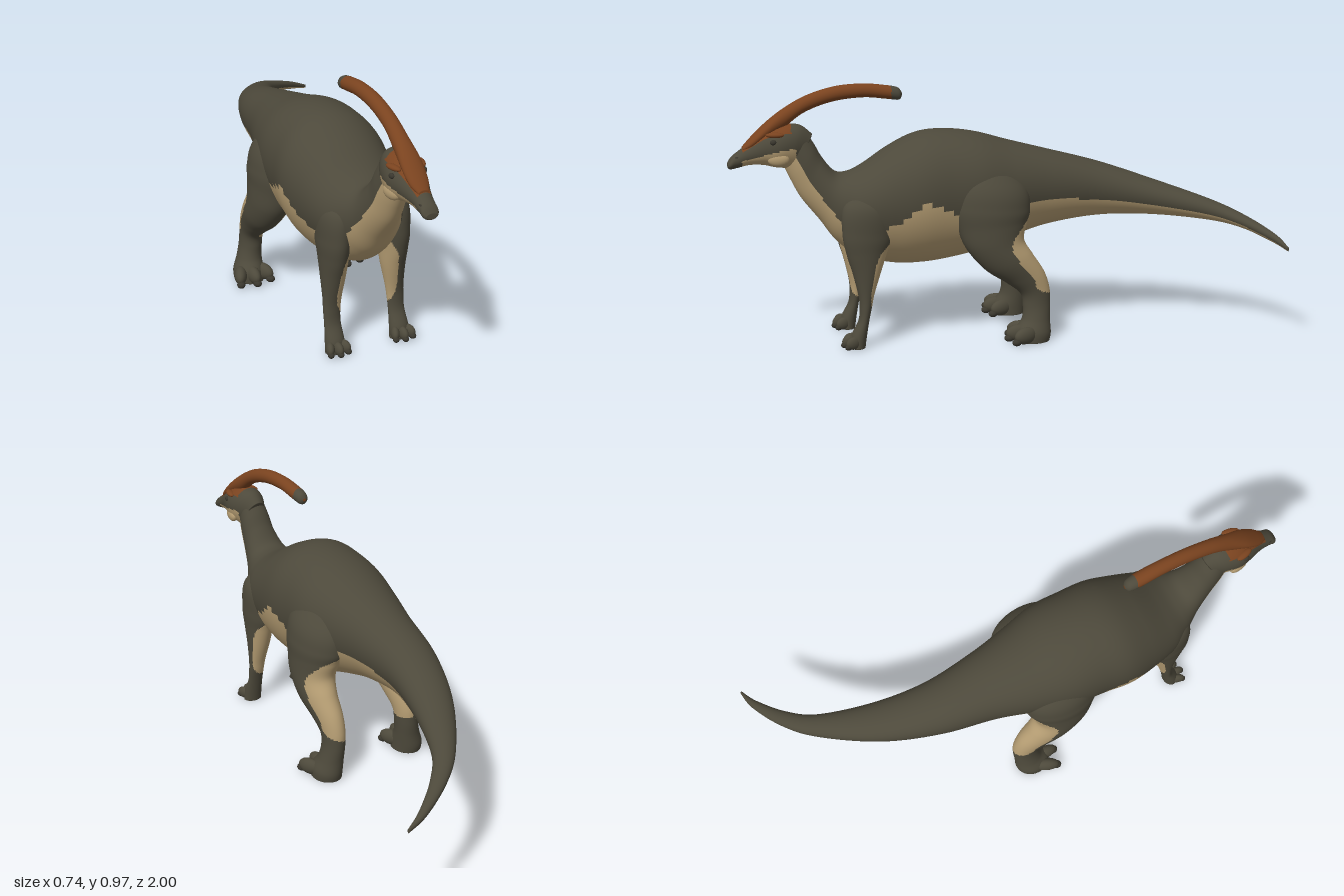
import * as THREE from 'three';

const mat = (name, color) => Object.assign(new THREE.MeshStandardMaterial({ color }), { name });
const CX = -0.12; // the body's own middle plane
const SIDES = 72;

// Smooth interpolation of a list of numeric section rows
function sample(keys, u) {
  const n = keys.length - 1, p = u * n, i = Math.min(Math.floor(p), n - 1), f = p - i;
  const row = (k) => keys[Math.max(0, Math.min(n, k))];
  return keys[0].map((_, c) => {
    const [a, b, d, e] = [-1, 0, 1, 2].map((k) => row(i + k)[c] ?? 0);
    return b + 0.5 * f * (d - a + f * (2 * a - 5 * b + 4 * d - e + f * (3 * (b - d) + e - a)));
  });
}

// Skin over oval sections: [z, y of top/front, z, y of bottom/back, x, half width, colour share, yaw]
// paint(point, angle from bottom, colour share) returns a material index
function loft(name, keys, materials, paint, { steps = 10, pear = 0 } = {}) {
  const count = (keys.length - 1) * steps, pos = [], shares = [];
  for (let i = 0; i <= count; i++) {
    const [zt, yt, zb, yb, cx, w, share, yaw = 0] = sample(keys, i / count);
    const r = yaw * Math.PI / 180;
    shares.push(share);
    for (let j = 0; j < SIDES; j++) {
      const a = (j / SIDES) * Math.PI * 2, k = (1 - Math.cos(a)) / 2;
      const side = w * Math.sin(a) * (1 + pear * Math.cos(a));
      pos.push(cx + side * Math.cos(r), yb + (yt - yb) * k, zb + (zt - zb) * k + side * Math.sin(r));
    }
  }
  const faces = materials.map(() => []);
  const point = (i) => new THREE.Vector3().fromArray(pos, i * 3);
  for (let i = 0; i < count; i++) {
    for (let j = 0; j < SIDES; j++) {
      const k = (j + 1) % SIDES;
      const a = i * SIDES + j, b = i * SIDES + k, c = b + SIDES, d = a + SIDES;
      const mid = point(a).add(point(c)).multiplyScalar(0.5);
      faces[paint(mid, ((j + 0.5) / SIDES) * Math.PI * 2, shares[i])].push(a, b, c, a, c, d);
    }
  }
  // closed ends
  const last = count * SIDES;
  for (let j = 1; j < SIDES - 1; j++) {
    faces[0].push(0, j + 1, j, last, last + j, last + j + 1);
  }
  const geo = new THREE.BufferGeometry();
  geo.setAttribute('position', new THREE.Float32BufferAttribute(pos, 3));
  geo.setIndex(faces.flat());
  let start = 0;
  faces.forEach((f, m) => { geo.addGroup(start, f.length, m); start += f.length; });
  geo.computeVertexNormals();
  const mesh = new THREE.Mesh(geo, materials);
  mesh.name = name;
  return mesh;
}

// Second colour fills a share of the section, centred on an angle
const band = (centre) => (p, a, share) => {
  const d = Math.abs(Math.atan2(Math.sin(a - centre), Math.cos(a - centre)));
  return d < Math.acos(1 - 2 * Math.max(0, Math.min(1, share))) ? 1 : 0;
};

function ball(name, material, x, y, z, sx, sy, sz, yaw = 0) {
  const m = new THREE.Mesh(new THREE.SphereGeometry(1, 20, 14), material);
  m.name = name;
  m.position.set(x, y, z);
  m.scale.set(sx, sy, sz);
  m.rotation.y = yaw;
  return m;
}

export function createModel() {
  const model = new THREE.Group();
  model.name = 'crestedDinosaur';
  const hide = mat('darkHide', 0x4d493b);
  const belly = mat('paleBelly', 0xb49c72);
  const rust = mat('rustCrest', 0x7a431f);
  const horn = mat('darkHorn', 0x3a372e);

  // Tail, trunk and neck in one skin
  const body = [
    [-0.997, 0.375, -0.997, 0.36, 0.362, 0.004, 0.2, 68],
    [-0.972, 0.41, -0.972, 0.377, 0.285, 0.015, 0.3, 60],
    [-0.9, 0.457, -0.9, 0.408, 0.17, 0.028, 0.36, 48],
    [-0.8, 0.503, -0.8, 0.425, 0.075, 0.042, 0.38, 35],
    [-0.6, 0.572, -0.6, 0.436, -0.03, 0.074, 0.38, 22],
    [-0.4, 0.64, -0.4, 0.432, -0.09, 0.099, 0.38, 10],
    [-0.2, 0.695, -0.2, 0.405, -0.107, 0.128, 0.41, 4],
    [-0.05, 0.735, -0.05, 0.36, -0.118, 0.165, 0.4],
    [0.08, 0.772, 0.08, 0.315, CX, 0.195, 0.36],
    [0.2, 0.786, 0.2, 0.29, -0.125, 0.2, 0.44],
    [0.3, 0.775, 0.3, 0.28, -0.13, 0.204, 0.53],
    [0.4, 0.73, 0.4, 0.285, -0.13, 0.188, 0.42],
    [0.5, 0.667, 0.53, 0.32, -0.127, 0.16, 0.33],
    [0.56, 0.642, 0.612, 0.385, -0.125, 0.122, 0.33],
    [0.61, 0.647, 0.67, 0.465, -0.125, 0.088, 0.38],
    [0.655, 0.7, 0.735, 0.55, -0.125, 0.066, 0.42],
    [0.685, 0.755, 0.772, 0.62, -0.125, 0.059, 0.42],
    [0.72, 0.81, 0.795, 0.67, -0.125, 0.05, 0.42],
  ];
  model.add(loft('bodyTailAndNeck', body, [hide, belly], band(0), { pear: -0.13, steps: 16 }));

  // Head with pale cheeks and a rust forehead
  const HX = -0.125;
  const head = [
    [0.69, 0.79, 0.765, 0.66, HX, 0.045, 0],
    [0.735, 0.825, 0.795, 0.667, HX, 0.062, 0],
    [0.8, 0.828, 0.83, 0.672, HX, 0.069, 0],
    [0.86, 0.808, 0.87, 0.682, HX, 0.058, 0],
    [0.92, 0.765, 0.92, 0.684, HX, 0.039, 0],
    [0.96, 0.737, 0.965, 0.675, HX, 0.031, 0],
    [0.985, 0.717, 0.99, 0.671, HX, 0.03, 0],
    [1.0, 0.696, 1.0, 0.677, HX, 0.02, 0],
  ];
  model.add(loft('head', head, [hide, belly, rust], (p, a) => {
    const fromTop = Math.abs(a - Math.PI);
    if (p.z > 0.77 && p.z < 0.945 && fromTop < 0.85) return 2;
    const cheekTop = 0.745 - 0.28 * Math.max(0, p.z - 0.8);
    return p.z > 0.755 && p.z < 0.95 && p.y < cheekTop ? 1 : 0;
  }));

  // Long backswept crest with a dark tip
  const crest = [
    [0.353, 0.93, 0.353, 0.918, HX, 0.007, 0],
    [0.37, 0.95, 0.365, 0.903, HX, 0.022, 0],
    [0.42, 0.96, 0.41, 0.908, HX, 0.027, 0],
    [0.5, 0.968, 0.5, 0.917, HX, 0.026, 0],
    [0.6, 0.962, 0.615, 0.905, HX, 0.026, 0],
    [0.7, 0.935, 0.72, 0.868, HX, 0.027, 0],
    [0.78, 0.895, 0.8, 0.81, HX, 0.031, 0],
    [0.85, 0.845, 0.87, 0.77, HX, 0.038, 0],
    [0.91, 0.79, 0.91, 0.745, HX, 0.034, 0],
    [0.945, 0.753, 0.945, 0.735, HX, 0.018, 0],
  ];
  model.add(loft('crest', crest, [rust, hide], (p) => (p.z < 0.395 ? 1 : 0)));

  for (const s of [1, -1]) {
    const label = s > 0 ? 'left' : 'right';
    const legRows = (rows, shift) =>
      rows.map(([a, b, c, d, dx, w, t]) => [a, b, c, d, CX + shift + s * dx, w, t]);

    // Face details
    model.add(
      ball(label + 'Brow', rust, HX + s * 0.05, 0.798, 0.83, 0.014, 0.01, 0.034, s * -0.25),
      ball(label + 'Eye', horn, HX + s * 0.06, 0.773, 0.838, 0.008, 0.01, 0.012, s * -0.25),
      ball(label + 'Cheek', belly, HX + s * 0.05, 0.708, 0.82, 0.017, 0.026, 0.04, s * -0.2),
      ball(label + 'Nostril', horn, HX + s * 0.024, 0.715, 0.962, 0.005, 0.006, 0.013, s * -0.1),
    );

    // Hind leg: broad thigh, pale inner and rear shank, dark foot
    const hind = legRows([
      [0.12, 0.72, -0.02, 0.7, 0.05, 0.05, -0.4],
      [0.185, 0.61, -0.09, 0.58, 0.112, 0.09, -0.4],
      [0.198, 0.52, -0.1, 0.5, 0.13, 0.098, 0],
      [0.18, 0.44, -0.085, 0.45, 0.142, 0.088, 0.4],
      [0.148, 0.36, -0.07, 0.39, 0.158, 0.075, 0.66],
      [0.08, 0.28, -0.1, 0.335, 0.168, 0.064, 0.74],
      [0.0, 0.225, -0.145, 0.265, 0.167, 0.052, 0.74],
      [-0.055, 0.18, -0.167, 0.2, 0.167, 0.043, 0.7],
      [-0.065, 0.13, -0.17, 0.14, 0.17, 0.042, -0.8],
      [-0.06, 0.085, -0.167, 0.08, 0.178, 0.047, -0.8],
      [-0.035, 0.045, -0.168, 0.03, 0.187, 0.056, -0.8],
      [-0.03, 0, -0.163, 0, 0.187, 0.056, -0.8],
    ], 0.01);
    model.add(loft(label + 'HindLeg', hind, [hide, belly], band(-0.8 * s)));
    for (const t of [-1, 0, 1]) {
      const x = CX + 0.01 + s * 0.19 + t * 0.046, z = -0.045 - Math.abs(t) * 0.015;
      model.add(
        ball(label + 'HindToe', hide, x, 0.033, z, 0.024, 0.032, 0.05, t * 0.4),
        ball(label + 'HindClaw', horn, x + t * 0.014, 0.014, z + 0.038, 0.016, 0.014, 0.019, t * 0.4),
      );
    }

    // Front leg: shoulder, pale inner forearm, small hoofed hand
    const front = legRows([
      [0.53, 0.615, 0.44, 0.6, 0.045, 0.04, -0.4],
      [0.595, 0.535, 0.4, 0.53, 0.1, 0.06, -0.4],
      [0.602, 0.43, 0.415, 0.42, 0.114, 0.055, 0.2],
      [0.588, 0.35, 0.437, 0.36, 0.116, 0.049, 0.66],
      [0.568, 0.28, 0.462, 0.285, 0.117, 0.044, 0.74],
      [0.55, 0.2, 0.49, 0.2, 0.122, 0.035, 0.72],
      [0.546, 0.15, 0.501, 0.15, 0.125, 0.032, 0.4],
      [0.552, 0.1, 0.512, 0.1, 0.126, 0.031, -0.8],
      [0.58, 0.045, 0.523, 0.035, 0.127, 0.036, -0.8],
      [0.585, 0, 0.528, 0, 0.127, 0.037, -0.8],
    ], 0);
    model.add(loft(label + 'FrontLeg', front, [hide, belly], band(-0.95 * s)));
    for (const t of [-1, 0, 1]) {
      const x = CX + s * 0.128 + t * 0.027, z = 0.585 - Math.abs(t) * 0.01;
      model.add(
        ball(label + 'FrontToe', hide, x, 0.024, z, 0.016, 0.024, 0.03, t * 0.35),
        ball(label + 'FrontHoof', horn, x + t * 0.006, 0.011, z + 0.02, 0.012, 0.011, 0.014, t * 0.35),
      );
    }
  }
  return model;
}
